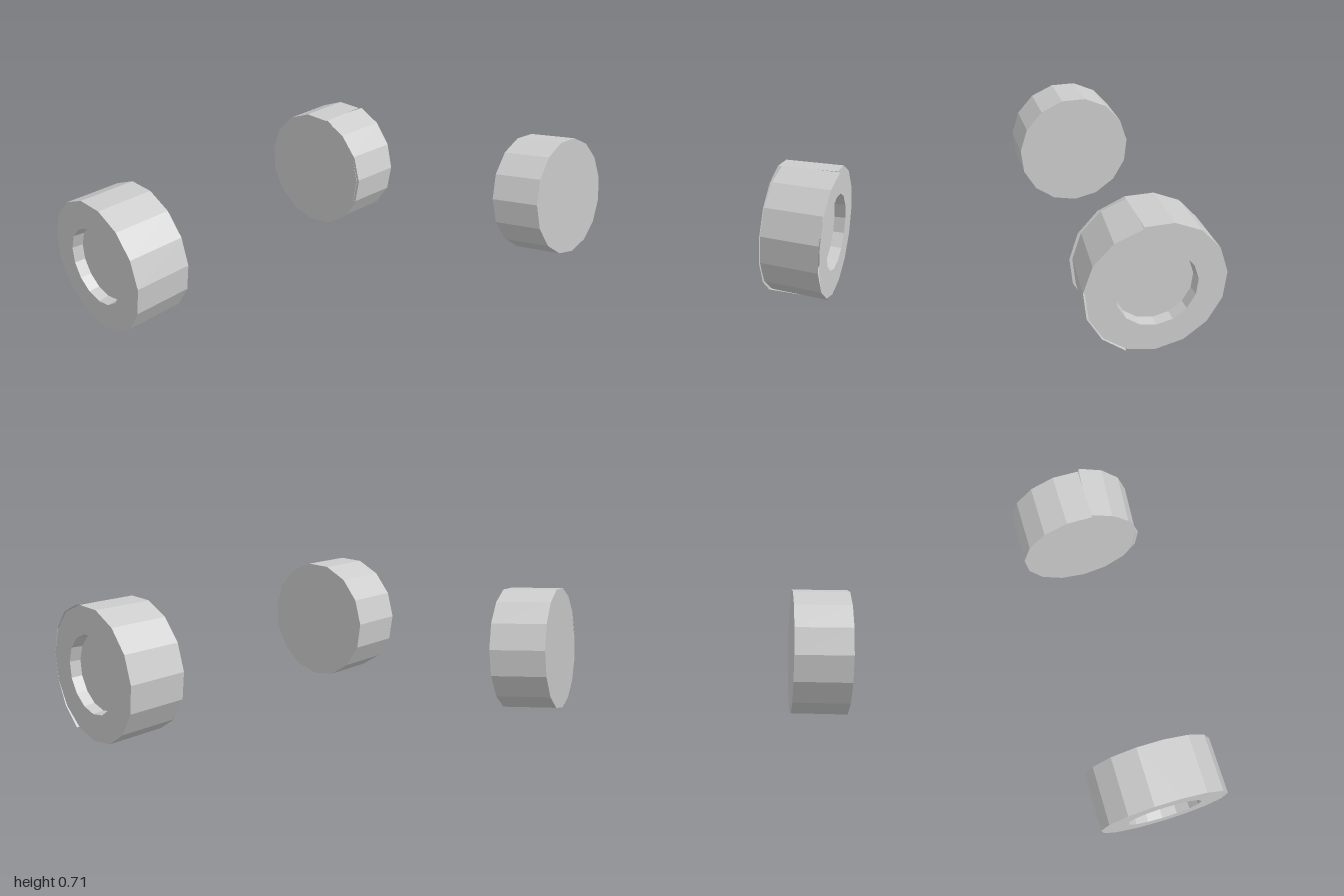
import * as THREE from 'three';

const SIDES = 15, STEP = (Math.PI * 2) / SIDES;
const R = 0.36, HALF = 0.1575;          // wheel radius, half width
const HUB = 0.21, DEPTH = 0.06;         // recess radius and depth
const AXLE_Y = 0.36, AXLE_Z = -0.005;

const material = new THREE.MeshStandardMaterial({
  color: 0xcccccc, flatShading: true, side: THREE.DoubleSide,
});

// Faceted surface turned around the x axis; a corner points straight down.
// Segments are counted from the bottom corner towards the back.
function turned(name, profile, first = 0, count = SIDES) {
  const points = profile.map(([r, a]) => new THREE.Vector2(r, a));
  const geometry = new THREE.LatheGeometry(
    points, count, Math.PI / 2 + first * STEP, count * STEP);
  geometry.rotateZ(-Math.PI / 2);
  const mesh = new THREE.Mesh(geometry, material);
  mesh.name = name;
  return mesh;
}

// Flat inner face, outer rim and recessed hub; +x is the outer side.
function wheelFaces(group) {
  group.add(
    turned('innerFace', [[0, -HALF], [R, -HALF]]),
    turned('outerRim', [[R, HALF], [HUB, HALF]]),
    turned('hubRecess', [[HUB, HALF], [HUB - 0.005, HALF - DEPTH], [0, HALF - DEPTH]]),
  );
}

export function createModel() {
  const model = new THREE.Group();
  model.name = 'wheelPair';
  const tread = [[R, -HALF], [R, HALF]];

  // Right wheel: closed tread, outer side turned to -x
  const right = new THREE.Group();
  right.name = 'rightWheel';
  wheelFaces(right);
  right.add(turned('tread', tread));
  right.rotation.y = Math.PI;
  right.position.set(-0.8425, AXLE_Y, AXLE_Z);

  // Left wheel: the six front tread segments are a loose, slightly twisted strip
  const left = new THREE.Group();
  left.name = 'leftWheel';
  wheelFaces(left);
  left.add(turned('tread', tread, -1 + SIDES - 14 + 0, 8));
  left.position.set(0.8225, AXLE_Y, AXLE_Z);

  // Remaining fixed tread segment beside the bottom corner
  left.add(turned('bottomTread', tread, -1, 1));

  // Twisted strip pivots near the front of the wheel
  const pivot = new THREE.Group();
  pivot.name = 'looseTread';
  pivot.position.set(0.04, 0, 0.305);
  pivot.rotation.y = -0.078;
  const strip = turned('frontTread', tread, -7, 6);
  strip.position.copy(pivot.position).negate();
  pivot.add(strip);
  left.add(pivot);

  model.add(right, left);
  return model;
}
